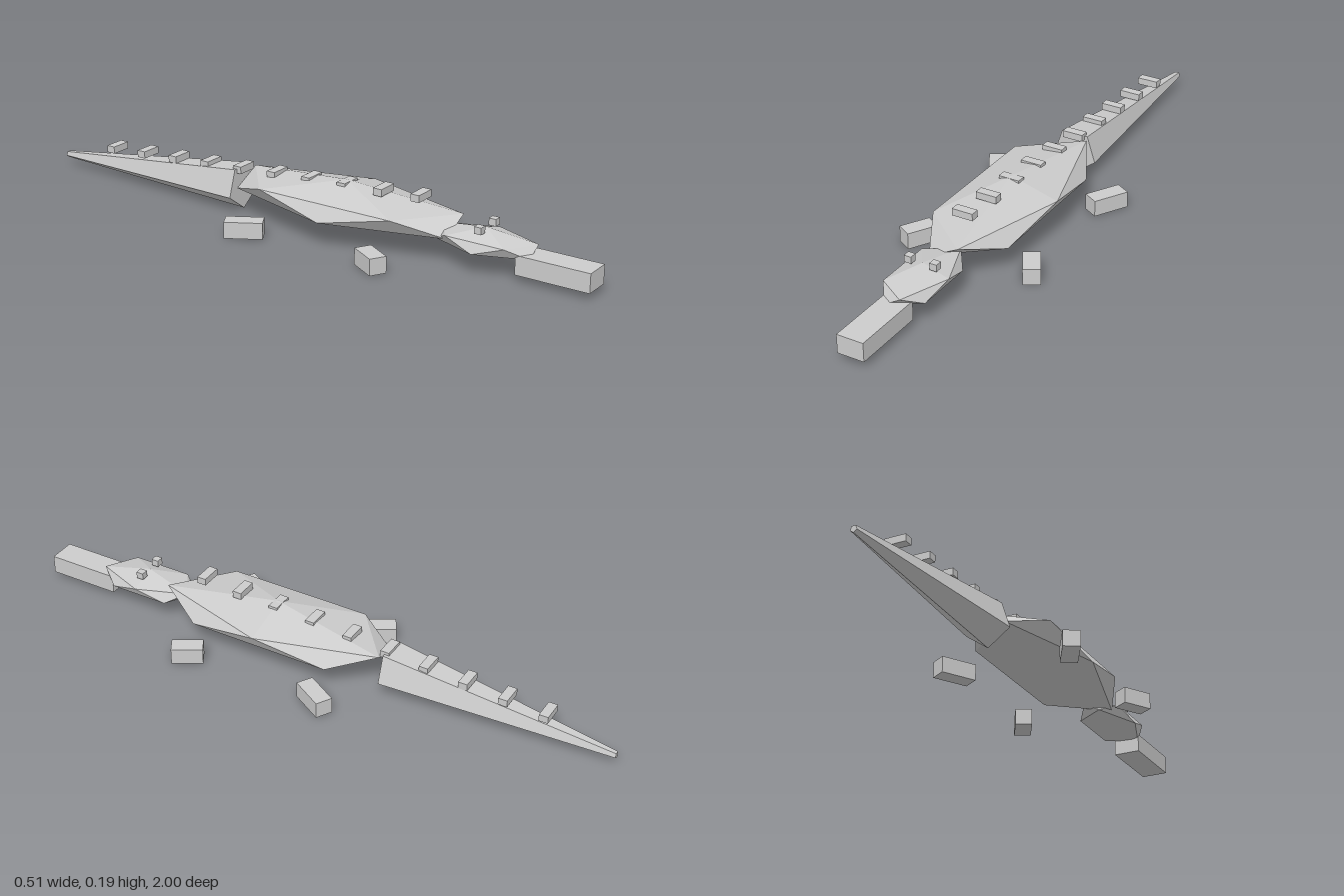
import * as THREE from 'three';
import { ConvexGeometry } from 'three/addons/geometries/ConvexGeometry.js';

export function createModel() {
  const model = new THREE.Group();
  model.name = 'crocodile';
  const skin = new THREE.MeshStandardMaterial({ color: 0xcccccc, flatShading: true });
  skin.name = 'grey skin';

  const add = (name, geometry, x = 0, y = 0, z = 0) => {
    const mesh = new THREE.Mesh(geometry, skin);
    mesh.name = name;
    mesh.position.set(x, y, z);
    model.add(mesh);
    return mesh;
  };
  const box = (name, w, h, d, x, y, z) => add(name, new THREE.BoxGeometry(w, h, d), x, y, z);

  // Twenty-sided ball with a flattened underside
  const flatBall = (rx, ry, rz) => {
    const belly = 0.4;
    const points = [new THREE.Vector3(0, ry, 0), new THREE.Vector3(0, -ry * belly, 0)];
    for (let i = 0; i < 5; i++) {
      const a = (i * Math.PI * 2) / 5;
      const x = 0.894 * rx * Math.cos(a);
      const z = 0.894 * rz * Math.sin(a);
      points.push(new THREE.Vector3(x, 0.447 * ry, z));
      points.push(new THREE.Vector3(-x, -0.447 * ry * belly, z));
    }
    return new ConvexGeometry(points);
  };

  // Body, head and snout
  add('body', flatBall(0.179, 0.0795, 0.453), 0, 0.0985, 0.148);
  add('head', flatBall(0.097, 0.0506, 0.188), 0, 0.0814, 0.638);
  box('snout', 0.088, 0.061, 0.24, 0, 0.054, 0.88);

  // Tail: five-sided, tapering, one corner down
  const tailPoints = [];
  for (const [r, y, z] of [[0.078, 0.079, -0.248], [0.0115, 0.0375, -1]]) {
    for (let i = 0; i < 5; i++) {
      const a = (i * Math.PI * 2) / 5;
      tailPoints.push(new THREE.Vector3(r * Math.sin(a), y - r * Math.cos(a), z));
    }
  }
  add('tail', new ConvexGeometry(tailPoints));

  // Eyes and legs, mirrored
  for (const side of [1, -1]) {
    const label = side > 0 ? 'left' : 'right';
    box(label + 'Eye', 0.024, 0.022, 0.024, side * 0.043, 0.136, 0.64);
    const front = box(label + 'FrontLeg', 0.055, 0.053, 0.1, side * 0.198, 0.0275, 0.365);
    front.rotation.y = side * Math.PI / 6;
    const back = box(label + 'BackLeg', 0.055, 0.053, 0.12, side * 0.199, 0.0275, -0.097);
    back.rotation.y = -side * Math.PI / 6;
  }

  // Row of ridge plates down the back and tail
  for (let i = 0; i < 10; i++) {
    box('ridge' + (i + 1), 0.07, 0.023, 0.03, 0, 0.182 - i * 0.0086, 0.413 - i * 0.1322);
  }
  return model;
}
